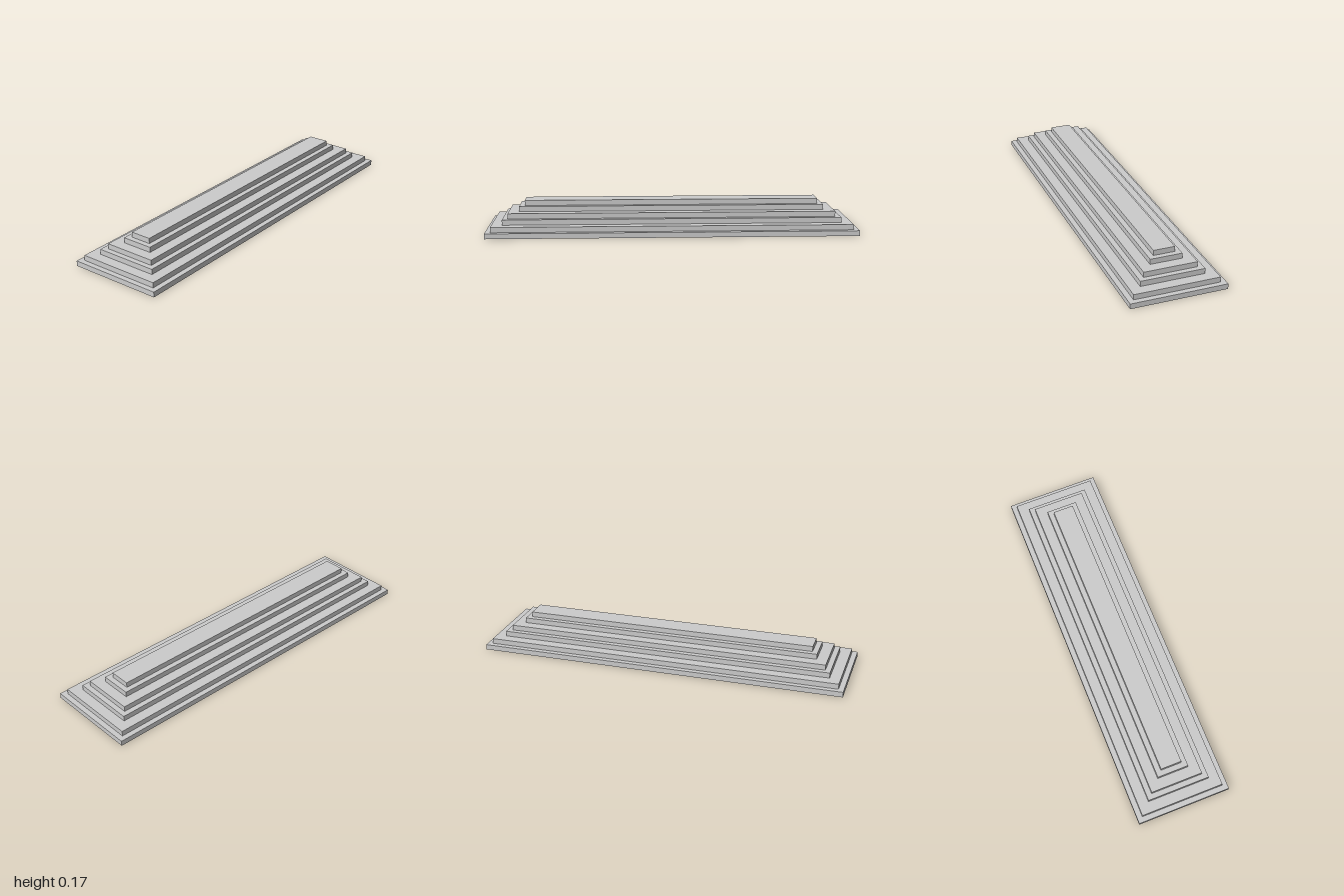
import * as THREE from 'three';

// All sizes are whole multiples of one step height.
const STEP = 1 / 35;
const INSETS = [0, 1, 3, 4, 6, 7]; // how far each tier sits in from the base edge

export function createModel() {
  const model = new THREE.Group();
  model.name = 'steppedPlinth';
  const material = new THREE.MeshStandardMaterial({ color: 0xcccccc });

  // Stacked rectangular tiers, widest at the bottom
  INSETS.forEach((inset, i) => {
    const width = 2 * (35 - inset) * STEP;
    const depth = 2 * (9 - inset) * STEP;
    const tier = new THREE.Mesh(new THREE.BoxGeometry(width, STEP, depth), material);
    tier.name = `tier${i + 1}`;
    tier.position.y = (i + 0.5) * STEP;
    model.add(tier);
  });

  return model;
}
